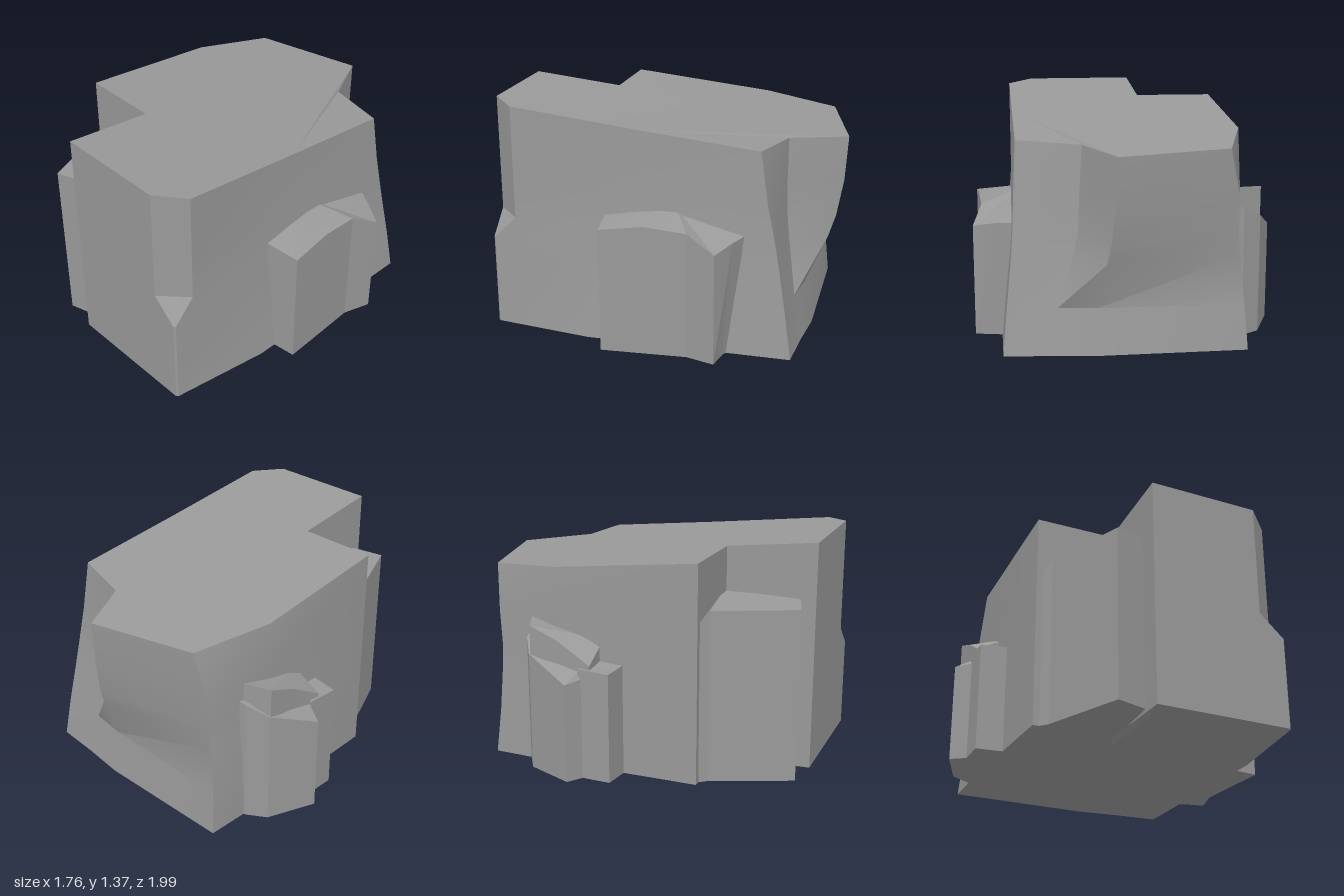
import * as THREE from 'three';
import { toCreasedNormals } from 'three/addons/utils/BufferGeometryUtils.js';

// Closed solid lofted through rings of [x, y, z] corners, listed left, front, right, back.
function loft(name, rings, material, crease = 0.5) {
  const n = rings[0].length;
  const index = [];
  for (let r = 0; r < rings.length - 1; r++) {
    for (let i = 0; i < n; i++) {
      const a = r * n + i, b = r * n + (i + 1) % n;
      index.push(a, b, b + n, a, b + n, a + n);
    }
  }
  const cap = (r, up) => {
    const flat = rings[r].map(([x, , z]) => new THREE.Vector2(x, z));
    for (const [a, b, c] of THREE.ShapeUtils.triangulateShape(flat, [])) {
      const turn = flat[b].clone().sub(flat[a]).cross(flat[c].clone().sub(flat[a]));
      const o = r * n;
      if ((turn < 0) === up) index.push(o + a, o + b, o + c);
      else index.push(o + a, o + c, o + b);
    }
  };
  cap(0, false);
  cap(rings.length - 1, true);
  const geometry = new THREE.BufferGeometry();
  geometry.setAttribute('position', new THREE.Float32BufferAttribute(rings.flat(2), 3));
  geometry.setIndex(index);
  const mesh = new THREE.Mesh(toCreasedNormals(geometry, crease), material);
  mesh.name = name;
  return mesh;
}

// Upright block: outline corners are [x, z, top height].
function slab(name, corners, material, base = 0.02) {
  return loft(name, [
    corners.map(([x, z]) => [x, base, z]),
    corners.map(([x, z, top]) => [x, top, z]),
  ], material, 0.3);
}

// Height of the sloping summit.
const summit = (z) => (z > -0.6 ? 1.255 + 0.115 * z + (z < 0 ? -0.01 * z : 0) : 1.18 + 0.05 * (z + 0.6));

export function createModel() {
  const group = new THREE.Group();
  group.name = 'rockOutcrop';
  const stone = new THREE.MeshStandardMaterial({ color: 0x999999 });
  stone.name = 'grey stone';

  // Main rock: the front and left edges stay upright, the others shift with height.
  const ring = (y, chamferA, chamferB, rightMid, rightBack, notch, overhang, leftBack) => [
    [-0.18, 0.46], [-0.175, 0.99], chamferA, chamferB, rightMid, rightBack,
    notch, overhang, leftBack, [-0.655, -0.4], [-0.645, 0.455],
  ].map(([x, z]) => [x, y === 'summit' ? summit(z) : y, z]);

  const rings = [
    ring(0.02, [0.63, 0.99], [0.64, 0.98], [0.725, 0.4], [0.725, -0.79], [0.46, -0.81], [0.2, -0.84], [-0.64, -0.835]),
    ring(0.28, [0.63, 0.99], [0.64, 0.98], [0.7, 0.35], [0.7, -0.75], [0.42, -0.76], [0.2, -0.79], [-0.62, -0.81]),
    ring(0.56, [0.63, 0.99], [0.64, 0.98], [0.67, 0.3], [0.67, -0.7], [0.33, -0.71], [0.16, -0.91], [-0.59, -0.8]),
    ring(0.69, [0.485, 0.99], [0.635, 0.85], [0.66, 0.25], [0.66, -0.675], [0.3, -0.69], [0.14, -0.95], [-0.58, -0.8]),
    ring(0.9, [0.485, 0.99], [0.635, 0.85], [0.645, 0.2], [0.65, -0.63], [0.29, -0.68], [0.12, -0.985], [-0.58, -0.81]),
    ring('summit', [0.485, 0.99], [0.635, 0.85], [0.635, 0.1], [0.635, -0.585], [0.275, -0.68], [0.11, -1], [-0.52, -0.845]),
  ];
  // Slightly bulging underside
  rings.unshift(rings[0].map(([x, , z]) => [x * 0.85, 0, z * 0.85]));
  group.add(loft('mainRock', rings, stone));

  // Lower column in the front corner recess
  group.add(slab('frontColumn', [
    [-0.62, 0.44, 0.95], [-0.57, 0.5, 1.03], [-0.38, 0.96, 1.035], [-0.2, 0.905, 1.045], [-0.16, 0.44, 1.045],
  ], stone));

  // Arched buttress on the left side
  const arch = [
    [0.6, 0.305, 0.765], [0.86, 0.275, 0.75], [0.845, 0.02, 0.785], [0.83, -0.22, 0.76],
    [0.88, -0.385, 0.67], [0.75, -0.46, 0.7], [0.65, -0.51, 0.71], [0.6, -0.3, 0.8], [0.6, -0.1, 0.83], [0.6, 0.1, 0.805],
  ];
  group.add(loft('leftButtress', [
    arch.map(([x, z]) => [x, 0.02, z < -0.4 ? z + 0.05 : z]),
    arch.map(([x, z, top]) => [x, top, z]),
  ], stone, 0.3));

  // Stepped buttress on the right side
  group.add(slab('rightButtressFront', [
    [-0.6, -0.2, 0.7], [-0.8, -0.2, 0.68], [-0.805, -0.01, 0.67], [-0.6, 0.015, 0.68],
  ], stone));
  group.add(slab('rightButtressBack', [
    [-0.6, -0.6, 0.8], [-0.66, -0.59, 0.78], [-0.77, -0.52, 0.72], [-0.885, -0.24, 0.605], [-0.8, -0.18, 0.62], [-0.6, -0.13, 0.75],
  ], stone));
  group.add(slab('rightButtressPeak', [
    [-0.6, -0.58, 0.9], [-0.77, -0.51, 0.89], [-0.77, -0.34, 0.82], [-0.79, -0.13, 0.7], [-0.6, -0.13, 0.8],
  ], stone));

  return group;
}
